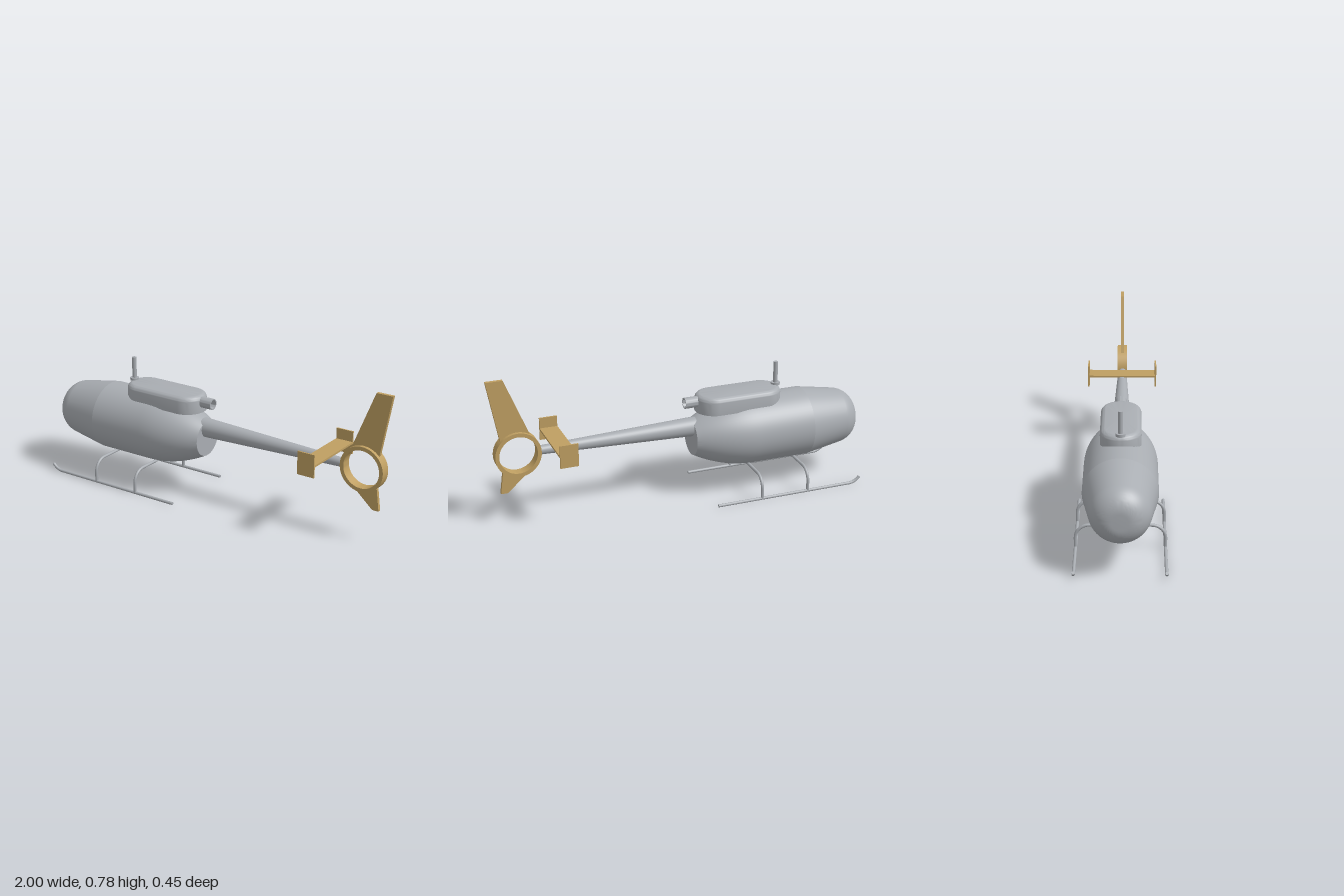
import * as THREE from 'three';
import { toCreasedNormals } from 'three/addons/utils/BufferGeometryUtils.js';

const grey = new THREE.MeshStandardMaterial({ color: 0xa9adb2 });
grey.name = 'hull grey';
const gold = new THREE.MeshStandardMaterial({ color: 0xbf9f62 });
gold.name = 'tail gold';

const v2 = (x, y) => new THREE.Vector2(x, y);

export function createModel() {
  const model = new THREE.Group();
  model.name = 'helicopter';

  function add(name, geometry, material, x = 0, y = 0, z = 0) {
    const mesh = new THREE.Mesh(geometry, material);
    mesh.name = name;
    mesh.position.set(x, y, z);
    model.add(mesh);
    return mesh;
  }
  // Surface of revolution about the x axis; points are (radius, x)
  const latheX = (points, segments, crease) =>
    toCreasedNormals(new THREE.LatheGeometry(points, segments).rotateZ(-Math.PI / 2), crease);

  // Fuselage: rounded nose, cone, barrel, tapering tail with flat end
  const hull = [v2(0, -1)];
  for (let i = 0; i <= 18; i++) {
    const t = (i / 18) * 1.4;
    hull.push(v2(0.04 + 0.11 * Math.sin(t), -0.88 - 0.12 * Math.cos(t)));
  }
  hull.push(v2(0.182, -0.7), v2(0.182, -0.39));
  for (let i = 1; i <= 10; i++) {
    const t = i / 10;
    hull.push(v2(0.182 - 0.087 * t * t, -0.39 + 0.32 * t));
  }
  hull.push(v2(0, -0.07));
  add('fuselage', latheX(hull, 64, 0.165), grey, 0, 0.32, 0);

  // Engine cowl: round lathe stretched into a stadium
  const cowlProfile = [v2(0, 0.46), v2(0.101, 0.46)];
  for (let i = 0; i <= 8; i++) {
    const t = (i / 8) * Math.PI / 2;
    cowlProfile.push(v2(0.071 + 0.03 * Math.cos(t), 0.522 + 0.03 * Math.sin(t)));
  }
  cowlProfile.push(v2(0, 0.552));
  const cowl = new THREE.LatheGeometry(cowlProfile, 48, Math.PI / 48);
  const p = cowl.attributes.position;
  for (let i = 0; i < p.count; i++) {
    const x = p.getX(i);
    if (Math.abs(x) > 1e-6) p.setX(i, x + Math.sign(x) * 0.134);
  }
  add('engineCowl', toCreasedNormals(cowl, 0.6), grey, -0.33, 0, 0);

  // Rotor mast and its collar
  add('mastCollar', new THREE.CylinderGeometry(0.024, 0.024, 0.014, 32), grey, -0.545, 0.555, 0);
  add('rotorMast', new THREE.CylinderGeometry(0.012, 0.012, 0.14, 24), grey, -0.545, 0.605, 0);

  // Hollow exhaust pipe
  const pipe = [v2(0.029, -0.13), v2(0.029, -0.032), v2(0.023, -0.032), v2(0.023, -0.095), v2(0, -0.095)];
  add('exhaustPipe', latheX(pipe, 32, 0.6), grey, 0, 0.515, 0);

  // Tail boom
  const boom = new THREE.CylinderGeometry(0.023, 0.051, 0.835, 40).rotateZ(-Math.PI / 2);
  add('tailBoom', boom, grey, 0.3275, 0.379, 0);

  // Landing gear: bent cross tubes
  const tubeRadius = 0.008;
  for (const [name, x] of [['frontCrossTube', -0.65], ['rearCrossTube', -0.387]]) {
    const half = [[0.217, 0.008], [0.217, 0.061]];
    for (let i = 1; i <= 10; i++) {
      const t = (i / 10) * Math.PI / 2;
      half.push([0.15 + 0.067 * Math.cos(t), 0.061 + 0.067 * Math.sin(t)]);
    }
    const path = new THREE.CurvePath();
    const pts = [...half, ...half.map(([z, y]) => [-z, y]).reverse()]
      .map(([z, y]) => new THREE.Vector3(x, y, z));
    for (let i = 1; i < pts.length; i++) path.add(new THREE.LineCurve3(pts[i - 1], pts[i]));
    add(name, new THREE.TubeGeometry(path, 120, tubeRadius, 14), grey);
  }

  // Skids with upturned toes
  for (const [name, side] of [['leftSkid', 1], ['rightSkid', -1]]) {
    const z = side * 0.217;
    const at = (x, y) => new THREE.Vector3(x, y, z);
    const path = new THREE.CurvePath();
    path.add(new THREE.LineCurve3(at(-0.14, tubeRadius), at(-0.895, tubeRadius)));
    path.add(new THREE.QuadraticBezierCurve3(at(-0.895, tubeRadius), at(-0.93, tubeRadius), at(-0.956, 0.038)));
    add(name, new THREE.TubeGeometry(path, 100, tubeRadius, 14), grey);
    const disc = new THREE.CircleGeometry(tubeRadius, 14);
    add(name + 'HeelCap', disc, grey, -0.14, tubeRadius, z).rotation.y = Math.PI / 2;
    const toe = add(name + 'ToeCap', disc, grey, -0.956, 0.038, z);
    toe.lookAt(-0.956 - 0.026, 0.038 + 0.03, z);
  }

  // Tail rotor ring
  const cx = 0.855, cy = 0.378;
  const ring = [v2(0.098, -0.027), v2(0.118, -0.027), v2(0.118, 0.027), v2(0.098, 0.027), v2(0.098, -0.027)];
  const ringGeo = toCreasedNormals(new THREE.LatheGeometry(ring, 64).rotateX(Math.PI / 2), 0.6);
  add('tailRing', ringGeo, gold, cx, cy, 0);

  // Fins, with roots following the ring
  function fin(name, tips, startDeg, endDeg) {
    const pts = tips.map(([x, y]) => v2(x, y));
    for (let i = 0; i <= 12; i++) {
      const a = THREE.MathUtils.degToRad(startDeg + (endDeg - startDeg) * i / 12);
      pts.push(v2(cx + 0.108 * Math.cos(a), cy + 0.108 * Math.sin(a)));
    }
    const geo = new THREE.ExtrudeGeometry(new THREE.Shape(pts), { depth: 0.018, bevelEnabled: false });
    add(name, geo.translate(0, 0, -0.009), gold);
  }
  fin('upperFin', [[0.782, 0.455], [0.91, 0.776], [0.998, 0.776], [0.94, 0.458]], 43, 133);
  fin('lowerFin', [[0.935, 0.288], [0.95, 0.174], [0.915, 0.174], [0.808, 0.27]], 246, 312);

  // Stabiliser and end plates
  add('stabiliser', new THREE.BoxGeometry(0.094, 0.01, 0.372), gold, 0.642, 0.408, 0);
  for (const [name, side] of [['leftEndPlate', 1], ['rightEndPlate', -1]]) {
    add(name, new THREE.BoxGeometry(0.094, 0.12, 0.008), gold, 0.642, 0.409, side * 0.186);
  }

  return model;
}
